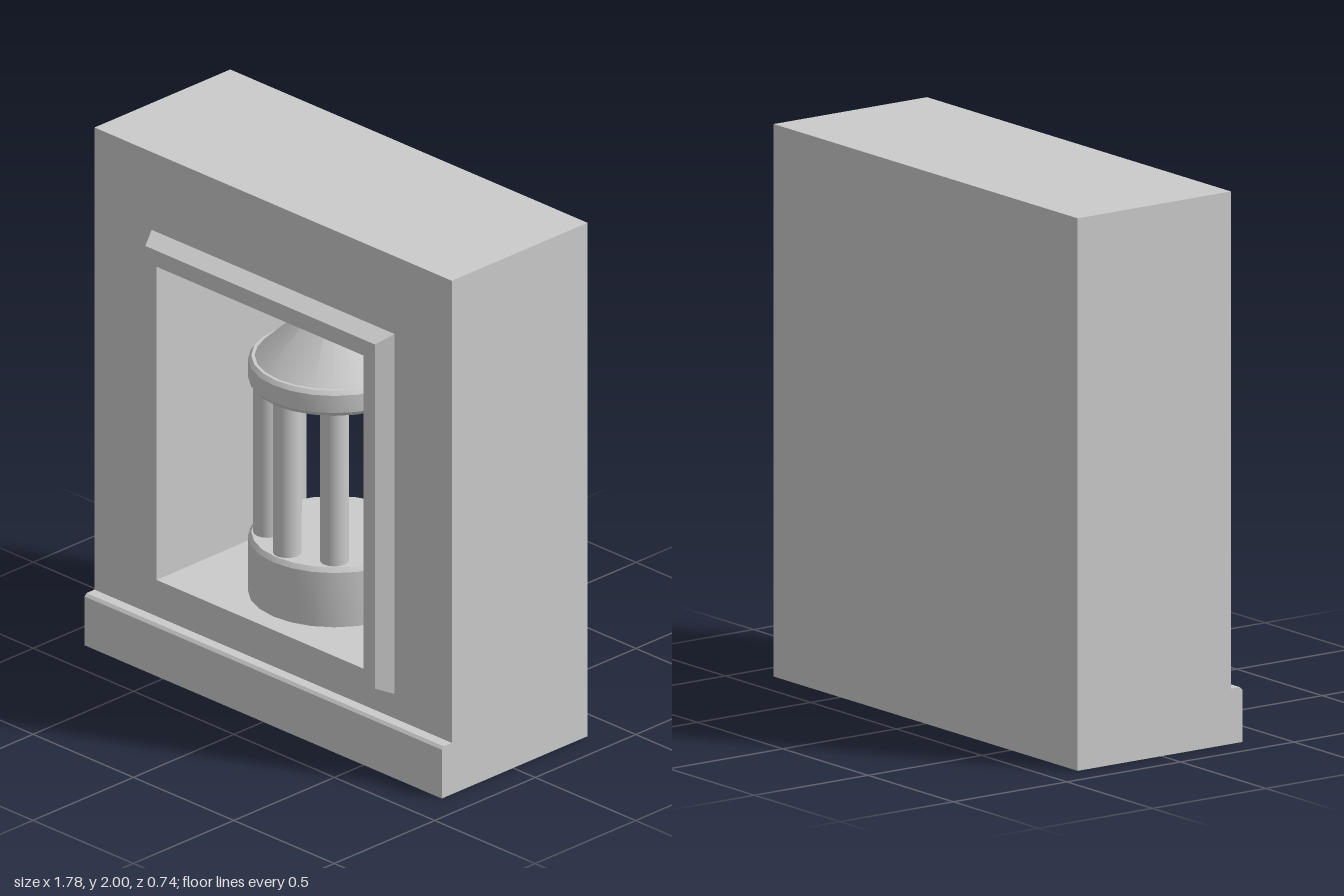
import * as THREE from 'three';
import { toCreasedNormals } from 'three/addons/utils/BufferGeometryUtils.js';

const grey = new THREE.MeshStandardMaterial({ color: 0xcccccc });

function add(parent, name, geometry, x = 0, y = 0, z = 0) {
  const mesh = new THREE.Mesh(geometry, grey);
  mesh.name = name;
  mesh.position.set(x, y, z);
  parent.add(mesh);
  return mesh;
}

// Skin a series of rectangles [halfWidth, bottom, top, z] with flat quads
function rectLoft(rings) {
  const corners = rings.map(([w, b, t, z]) => [[-w, b, z], [w, b, z], [w, t, z], [-w, t, z]]);
  const pos = [];
  for (let i = 0; i < corners.length - 1; i++) {
    const p = corners[i], q = corners[i + 1];
    for (let k = 0; k < 4; k++) {
      const n = (k + 1) % 4;
      pos.push(...p[k], ...p[n], ...q[n], ...p[k], ...q[n], ...q[k]);
    }
  }
  const g = new THREE.BufferGeometry();
  g.setAttribute('position', new THREE.Float32BufferAttribute(pos, 3));
  g.computeVertexNormals();
  return g;
}

function turned(profile, segments = 24) {
  const points = profile.map(([r, y]) => new THREE.Vector2(r, y));
  return toCreasedNormals(new THREE.LatheGeometry(points, segments), 0.5);
}

export function createModel() {
  const model = new THREE.Group();
  model.name = 'wallNiche';

  // Outer walls, front face, raised bevelled frame and tapered niche walls
  add(model, 'wallWithFramedNiche', rectLoft([
    [0.89, 0, 2, -0.37],
    [0.89, 0, 2, 0.305],
    [0.605, 0.295, 1.697, 0.305],
    [0.572, 0.326, 1.667, 0.37],
    [0.515, 0.385, 1.605, 0.37],
    [0.506, 0.394, 1.596, -0.365],
  ]));

  // Rear panel, seen only from behind
  add(model, 'backPanel', new THREE.PlaneGeometry(1.78, 2), 0, 1, -0.37).rotation.y = Math.PI;

  // Plinth along the foot of the front, with a chamfered top edge
  const section = new THREE.Shape([[-0.305, 0], [-0.305, 0.2], [-0.345, 0.2], [-0.355, 0.19], [-0.355, 0]]
    .map(([x, y]) => new THREE.Vector2(x, y)));
  const plinth = new THREE.ExtrudeGeometry(section, { depth: 1.78, bevelEnabled: false });
  plinth.rotateY(Math.PI / 2);
  add(model, 'plinth', plinth, -0.89);

  // Round temple standing in the niche
  const temple = new THREE.Group();
  temple.name = 'temple';
  model.add(temple);

  add(temple, 'templeBase', turned([
    [0, 0.394], [0.305, 0.394], [0.305, 0.605], [0.293, 0.622], [0, 0.622],
  ]));

  for (let i = 0; i < 8; i++) {
    const a = (i * Math.PI) / 4;
    add(temple, 'column', new THREE.CylinderGeometry(0.051, 0.051, 0.6, 16),
      0.235 * Math.sin(a), 0.918, 0.235 * Math.cos(a));
  }

  add(temple, 'roofRing', turned([
    [0, 1.213], [0.295, 1.213], [0.305, 1.228], [0.305, 1.295], [0.293, 1.31], [0, 1.31],
  ]));
  add(temple, 'coneRoof', turned([[0.283, 1.308], [0.025, 1.555]]));
  add(temple, 'finial', turned([
    [0.025, 1.548], [0.025, 1.568], [0.02, 1.572], [0, 1.572],
  ], 16));

  return model;
}
